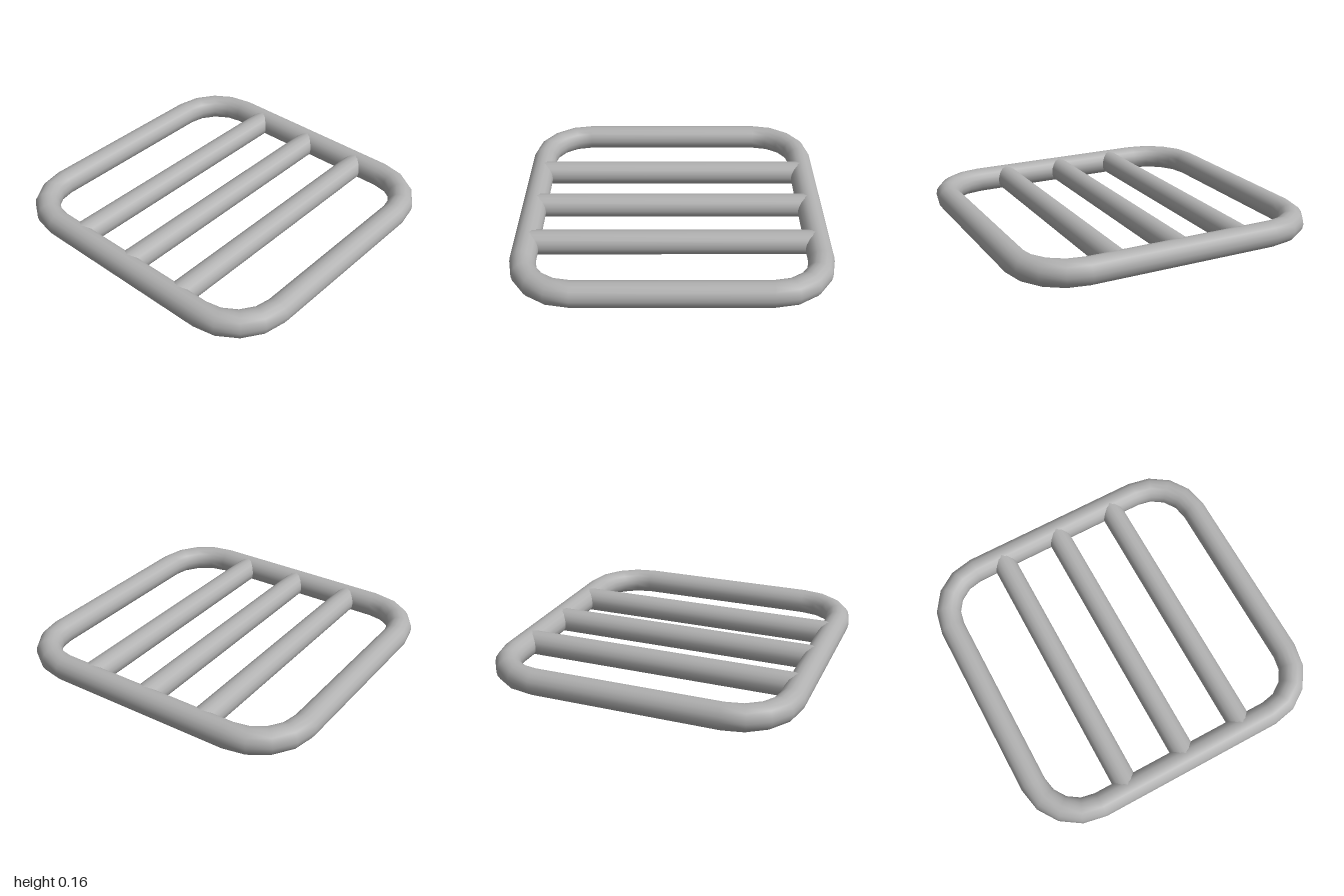
import * as THREE from 'three';

const R = 0.08;              // frame tube radius
const STRAIGHT_X = 0.59;     // where the straight sides end
const STRAIGHT_Z = 0.61;
const CORNER = 0.31;         // corner radius of the tube's centre line
const CORNER_STEPS = 4;

// Rounded rectangle sampled only at the corner points, so the straights stay single segments
class RoundedLoop extends THREE.Curve {
  constructor() {
    super();
    this.angles = [];
    this.points = [];
    [[1, 1], [-1, 1], [-1, -1], [1, -1]].forEach(([sx, sz], q) => {
      for (let i = 0; i <= CORNER_STEPS; i++) {
        const a = (q + i / CORNER_STEPS) * Math.PI / 2;
        this.angles.push(a);
        this.points.push(new THREE.Vector3(
          sx * STRAIGHT_X + CORNER * Math.cos(a), R, sz * STRAIGHT_Z + CORNER * Math.sin(a)));
      }
    });
  }
  index(u) { return Math.round(u * this.points.length) % this.points.length; }
  getPoint(u, target = new THREE.Vector3()) { return target.copy(this.points[this.index(u)]); }
  getPointAt(u, target) { return this.getPoint(u, target); }
  getTangentAt(u, target = new THREE.Vector3()) {
    const a = this.angles[this.index(u)];
    return target.set(-Math.sin(a), 0, Math.cos(a));
  }
}

export function createModel() {
  const group = new THREE.Group();
  group.name = 'grate';
  const metal = new THREE.MeshStandardMaterial({ color: 0xb0b0b0 });
  metal.name = 'grey metal';

  // Outer frame
  const loop = new RoundedLoop();
  const frame = new THREE.Mesh(new THREE.TubeGeometry(loop, loop.points.length, R, 16, true), metal);
  frame.name = 'outerFrame';
  group.add(frame);

  // Cross bars, ending inside the side tubes
  const barGeometry = new THREE.CylinderGeometry(0.077, 0.077, 1.8, 16, 1, true).rotateZ(Math.PI / 2);
  [-0.413, 0, 0.413].forEach((z, i) => {
    const bar = new THREE.Mesh(barGeometry, metal);
    bar.name = `crossBar${i + 1}`;
    bar.position.set(0, R, z);
    group.add(bar);
  });
  return group;
}
